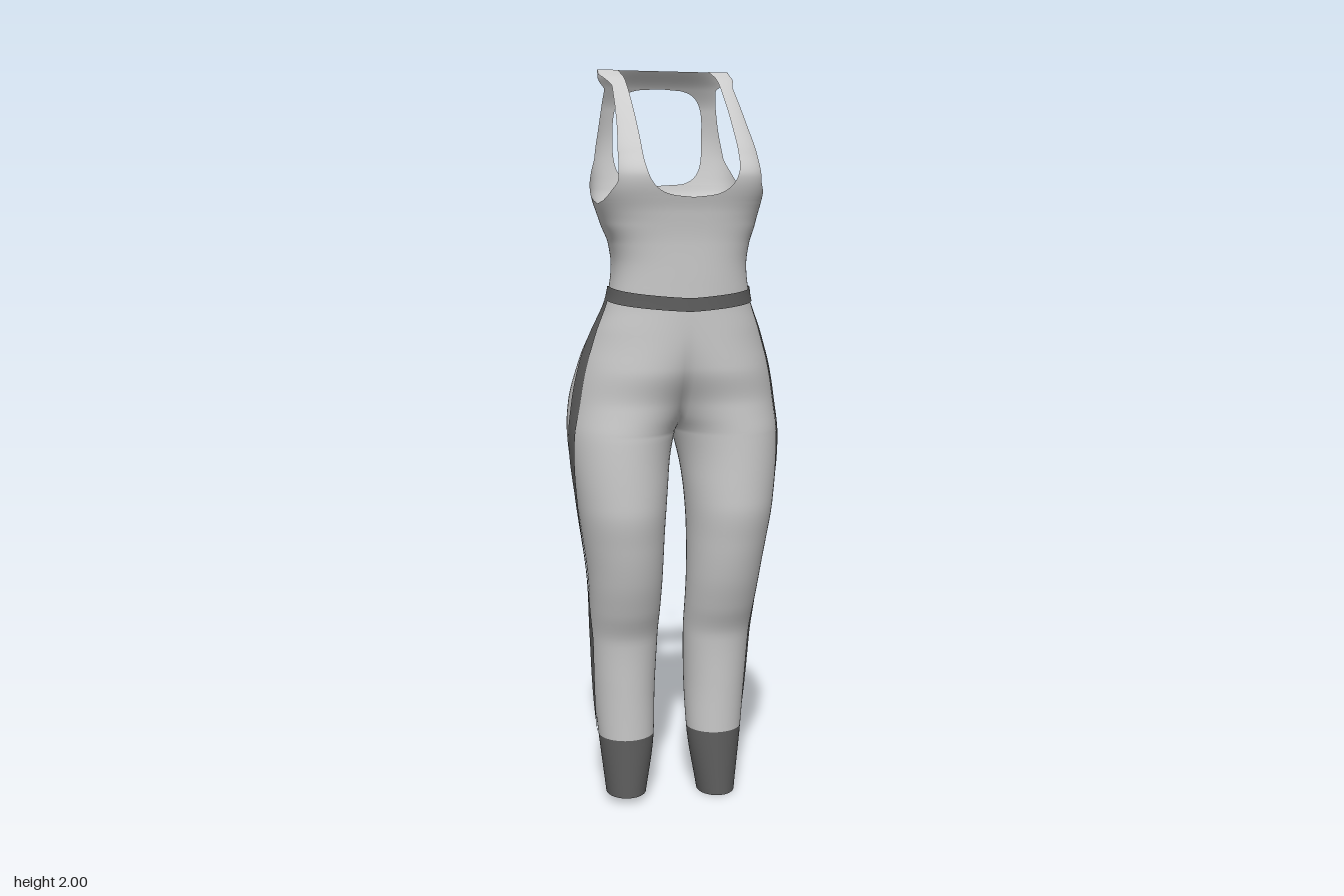
import * as THREE from 'three';
import { mergeGeometries, mergeVertices } from 'three/addons/utils/BufferGeometryUtils.js';
import { ParametricGeometry } from 'three/addons/geometries/ParametricGeometry.js';

// Smooth curve through [y, value] pairs that never overshoots
function curve(pts) {
  const n = pts.length;
  const d = pts.slice(1).map((p, i) => (p[1] - pts[i][1]) / (p[0] - pts[i][0]));
  const m = pts.map((_, i) => {
    if (i === 0) return d[0];
    if (i === n - 1) return d[n - 2];
    return d[i - 1] * d[i] <= 0 ? 0 : (2 * d[i - 1] * d[i]) / (d[i - 1] + d[i]);
  });
  return (y) => {
    if (y <= pts[0][0]) return pts[0][1];
    if (y >= pts[n - 1][0]) return pts[n - 1][1];
    let i = 0;
    while (y > pts[i + 1][0]) i++;
    const h = pts[i + 1][0] - pts[i][0], t = (y - pts[i][0]) / h, a = t * t, b = a * t;
    return (2 * b - 3 * a + 1) * pts[i][1] + (b - 2 * a + t) * h * m[i]
      + (3 * a - 2 * b) * pts[i + 1][1] + (b - a) * h * m[i + 1];
  };
}

// Body profiles by height: outer and inner x, front and back z, squareness
const outer = curve([[0, .184], [.02, .186], [.19, .205], [.36, .22], [.47, .226], [.65, .24], [.865, .27], [1.05, .287],
  [1.13, .28], [1.236, .256], [1.32, .225], [1.38, .199], [1.42, .186], [1.5, .176], [1.55, .182], [1.6, .198],
  [1.69, .214], [1.77, .212], [1.85, .2], [1.99, .18]]);
const inner = curve([[0, .078], [.19, .05], [.33, .045], [.47, .04], [.76, .035], [.94, .022], [1.05, 0], [1.1, -.03],
  [1.2, -.095], [1.3, -.155], [1.39, -.197]]);
const front = curve([[0, .03], [.19, .036], [.33, .042], [.47, .052], [.56, .085], [.65, .115], [.75, .138], [.86, .155],
  [1.13, .152], [1.23, .17], [1.45, .176], [1.55, .178], [1.63, .186], [1.72, .203], [1.78, .172], [1.85, .115],
  [1.92, .045], [1.973, -.025], [2, -.105]]);
const back = curve([[0, -.093], [.175, -.115], [.33, -.143], [.47, -.127], [.65, -.1], [.89, -.12], [1.02, -.172], [1.13, -.208],
  [1.26, -.18], [1.37, -.105], [1.44, -.08], [1.55, -.085], [1.62, -.122], [1.69, -.16], [1.82, -.18], [1.9, -.17],
  [1.955, -.147], [2, -.115]]);
const square = curve([[0, 2], [1.2, 2], [1.42, 2.4], [1.6, 3], [1.72, 4], [2, 4]]);

// Superellipse cross-section of one body half
function section(y) {
  const xo = outer(y), xi = y >= 1.39 ? -xo : Math.max(inner(y), -xo);
  const cx = (xo + xi) / 2, rx = (xo - xi) / 2, n = square(y);
  const zf = front(y), zb = back(y);
  const start = Math.acos(Math.min(1, Math.max(0, cx / rx)) ** (n / 2));
  return { cx, rx, n, zc: (zf + zb) / 2, rz: (zf - zb) / 2, start };
}
const spow = (v, e) => Math.sign(v) * Math.abs(v) ** e;
function place(y, a, off, s, target) {
  const k = section(y);
  let x = k.cx - (k.rx + off) * spow(Math.cos(a), 2 / k.n);
  if (k.cx < k.rx && x < 1e-4) x = 0;
  target.set(s * x, y, k.zc + (k.rz + off) * spow(Math.sin(a), 2 / k.n));
}
// Angle on the outer side at a relative depth t, from -1 back to 1 front
const angleAtDepth = (y, t) => Math.PI - Math.asin(spow(Math.max(-1, Math.min(1, t)), section(y).n / 2));
// Angle at a given x on the front (dir -1) or back (dir 1)
const angleAtX = (y, x, dir) => {
  const k = section(y);
  return Math.PI + dir * Math.acos(Math.min(1, x / k.rx) ** (k.n / 2));
};

// Patch between two heights on one side; range(y) gives the angle limits
function patch(s, y0, y1, cols, rows, range, off = 0, drop = () => 0) {
  return new ParametricGeometry((u, v, target) => {
    const w = s > 0 ? u : 1 - u;
    const y = y0 + (y1 - y0) * v - drop(w);
    const [a, b] = range(y);
    place(y, a + (b - a) * w, off, s, target);
  }, cols, rows);
}
const around = (y) => {
  const a = section(y).start;
  return [a, 2 * Math.PI - a];
};

function cloth(name, geometries, color = 0xcccccc) {
  geometries.forEach((g) => { g.deleteAttribute('normal'); g.deleteAttribute('uv'); });
  const geometry = mergeVertices(mergeGeometries(geometries), 1e-5);
  geometry.computeVertexNormals();
  const mesh = new THREE.Mesh(geometry,
    new THREE.MeshStandardMaterial({ color, roughness: 0.9, side: THREE.DoubleSide }));
  mesh.name = name;
  return mesh;
}

// Rounded opening: half width at height y, zero outside
const opening = (y, y0, y1, w, p) => {
  const k = Math.abs((2 * y - y0 - y1) / (y1 - y0));
  return k >= 1 ? 0 : w * (1 - k ** p) ** (1 / p);
};
const neckX = (y) => (y > 1.8 ? .125 : opening(y, 1.67, 1.93, .125, 3));
const backX = (y) => opening(y, 1.47, 1.585, .115, 2.5) + opening(y, 1.7, 1.955, .125, 3.5);
// Armhole edges as relative depth
const armFront = curve([[1.652, 0], [1.66, .4], [1.68, .66], [1.71, .8], [1.8, .82], [1.95, .8], [1.975, .6], [1.988, 0]]);
const armBack = curve([[1.652, 0], [1.664, -.3], [1.69, -.52], [1.73, -.72], [1.78, -.83], [1.95, -.85], [1.975, -.6], [1.988, 0]]);

// Side stripe edges as z
const stripeFront = curve([[.19, -.046], [.6, .004], [1, .042], [1.41, .058]]);
const stripeBack = curve([[.19, -.06], [.6, -.03], [1, 0], [1.41, -.002]]);
const stripeRange = (y) => {
  const k = section(y);
  return [stripeFront, stripeBack].map((f) => angleAtDepth(y, (f(y) - k.zc) / k.rz));
};

export function createModel() {
  const group = new THREE.Group();
  const sides = [1, -1];
  const dark = 0x606060;

  // Legs and hips, joined along the centre seam
  group.add(cloth('leggings', sides.flatMap((s) => [
    patch(s, .19, 1.05, 48, 60, around),
    patch(s, 1.05, 1.42, 48, 40, around),
  ])));

  // Tank top with neck, arm and back openings
  group.add(cloth('tankTop', sides.flatMap((s) => [
    patch(s, 1.42, 2, 20, 145, (y) => [angleAtX(y, neckX(y), -1), angleAtDepth(y, armFront(y))]),
    patch(s, 1.42, 2, 20, 145, (y) => [angleAtDepth(y, armBack(y)), angleAtX(y, backX(y), 1)]),
  ])));

  // Waistband dipping at the front
  const dip = (w) => (w < .5 ? .025 : .008) * Math.abs(1 - 2 * w);
  group.add(cloth('waistband', sides.map((s) => patch(s, 1.405, 1.44, 48, 4, around, .004, dip)), dark));

  // Tapering side stripes and ankle cuffs
  for (const s of sides) {
    const side = s > 0 ? 'left' : 'right';
    group.add(cloth(side + 'Stripe', [patch(s, .19, 1.41, 6, 80, stripeRange, .003)], dark));
    group.add(cloth(side + 'Cuff', [patch(s, s > 0 ? 0 : .02, .19, 48, 8, around)], dark));
  }
  return group;
}
